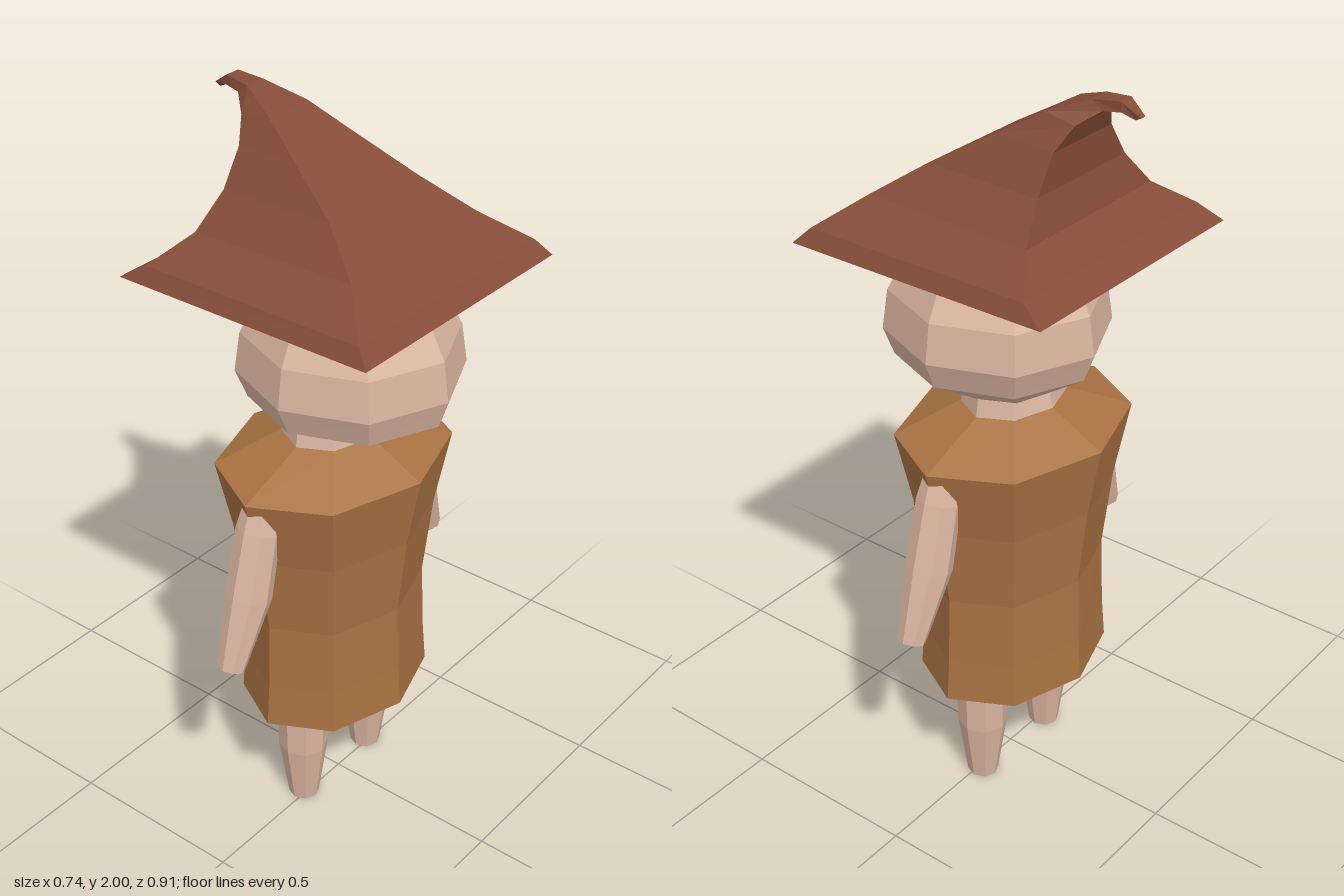
import * as THREE from 'three';

const material = (color) => new THREE.MeshStandardMaterial({ color, flatShading: true });

// Eight-sided ring around (x, y, z); slope lifts it along z
function ring(x, y, z, rx, rz, slope = 0) {
  return Array.from({ length: 8 }, (_, i) => {
    const a = (i * Math.PI) / 4;
    const dz = Math.sin(a) * rz;
    return [x + Math.cos(a) * rx, y + dz * slope, z + dz];
  });
}

// Four-cornered section from its low-x and high-x edges
function square(xl, yl, xr, yr, h) {
  return [[xr, yr, -h], [xr, yr, h], [xl, yl, h], [xl, yl, -h]];
}

// Skin a list of sections and close both ends
function loft(name, sections, mat) {
  const pos = [];
  const tri = (...pts) => pts.forEach((p) => pos.push(...p));
  const n = sections[0].length;
  for (let i = 0; i < sections.length - 1; i++) {
    const lo = sections[i], hi = sections[i + 1];
    for (let j = 0; j < n; j++) {
      const k = (j + 1) % n;
      tri(lo[j], hi[j], lo[k]);
      tri(lo[k], hi[j], hi[k]);
    }
  }
  const first = sections[0], last = sections[sections.length - 1];
  for (let j = 1; j < n - 1; j++) {
    tri(first[0], first[j], first[j + 1]);
    tri(last[0], last[j + 1], last[j]);
  }
  const geo = new THREE.BufferGeometry();
  geo.setAttribute('position', new THREE.Float32BufferAttribute(pos, 3));
  geo.computeVertexNormals();
  const mesh = new THREE.Mesh(geo, mat);
  mesh.name = name;
  return mesh;
}

export function createModel() {
  const group = new THREE.Group();
  group.name = 'hattedFigure';
  const skin = material(0xd9b4a0);
  const cloth = material(0xa87242);
  const felt = material(0x854c38);
  const cx = -0.012;

  // Tunic: flared hem, narrow waist, wide sloping shoulders
  group.add(loft('tunic', [
    [0.34, 0.225, 0.288], [0.46, 0.217, 0.278], [0.65, 0.21, 0.272],
    [0.87, 0.235, 0.3], [1.07, 0.272, 0.35], [1.145, 0.123, 0.155],
  ].map(([y, rx, rz]) => ring(cx, y, 0, rx, rz)), cloth));

  // Neck
  group.add(loft('neck', [
    ring(cx, 1.13, 0, 0.125, 0.157), ring(cx, 1.23, 0, 0.1, 0.14),
  ], skin));

  // Head: its chin ring sits back over the neck
  group.add(loft('head', [
    [cx, 1.19, 0.118, 0.14], [0.042, 1.255, 0.268, 0.25],
    [0.04, 1.33, 0.295, 0.28], [0.04, 1.435, 0.28, 0.265],
    [0.04, 1.53, 0.23, 0.217], [0.04, 1.6, 0.172, 0.16],
    [0.04, 1.66, 0.09, 0.085],
  ].map(([x, y, rx, rz]) => ring(x, y, 0, rx, rz)), skin));

  // Hat: recessed underside, square brim, point curling over to -x
  group.add(loft('hat', [
    square(-0.285, 1.63, 0.285, 1.63, 0.285),
    square(-0.285, 1.59, 0.285, 1.59, 0.285),
    square(-0.37, 1.59, 0.37, 1.59, 0.37),
    square(-0.305, 1.63, 0.332, 1.63, 0.345),
    square(-0.235, 1.7, 0.23, 1.71, 0.245),
    square(-0.208, 1.79, 0.11, 1.795, 0.17),
    square(-0.208, 1.88, -0.04, 1.885, 0.112),
    square(-0.235, 1.937, -0.15, 1.952, 0.07),
    square(-0.28, 1.97, -0.25, 1.992, 0.029),
    square(-0.325, 1.975, -0.322, 2.0, 0.021),
    square(-0.355, 1.96, -0.37, 1.968, 0.008),
  ], felt));

  for (const [side, s] of [['left', 1], ['right', -1]]) {
    // Arms hang outward along z
    group.add(loft(side + 'Arm', [
      [0.615, 0.422, 0.037, 0.034, 0.3], [0.8, 0.348, 0.06, 0.06, 0.3],
      [0.98, 0.303, 0.058, 0.055, 0.25], [1.05, 0.295, 0.042, 0.04, 0.1],
    ].map(([y, z, rx, rz, t]) => ring(cx, y, z * s, rx, rz, t * s)), skin));

    // Tapered legs
    group.add(loft(side + 'Leg', [
      [0, 0.042], [0.18, 0.068], [0.34, 0.071], [0.4, 0.065],
    ].map(([y, r]) => ring(cx, y, 0.14 * s, r, r)), skin));
  }

  return group;
}
